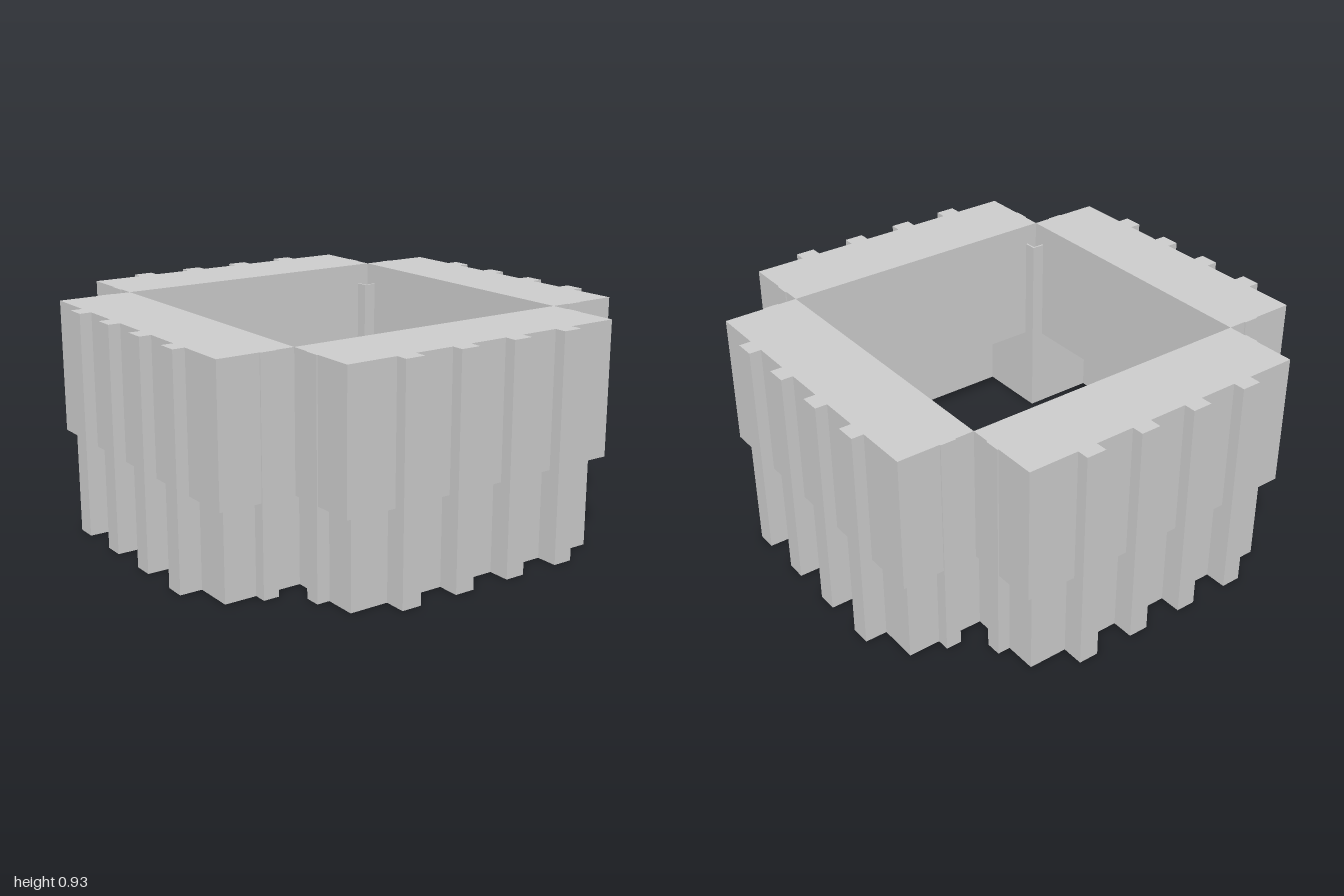
import * as THREE from 'three';

const H = 0.93;        // overall height
const LEDGE = 0.375;   // underside of the upper blocks
const INNER = 0.63;    // half width of the opening

export function createModel() {
  const model = new THREE.Group();
  model.name = 'ribbedEnclosure';
  const material = new THREE.MeshStandardMaterial({ color: 0xcccccc, flatShading: true });

  // Box given by its minimum and maximum corners
  const box = (parent, name, x0, x1, y0, y1, z0, z1) => {
    const mesh = new THREE.Mesh(new THREE.BoxGeometry(x1 - x0, y1 - y0, z1 - z0), material);
    mesh.position.set((x0 + x1) / 2, (y0 + y1) / 2, (z0 + z1) / 2);
    mesh.name = name;
    parent.add(mesh);
  };

  // Cross-shaped outline: arm half width a, reach r
  const cross = (a, r) => [
    [a, a], [a, r], [-a, r], [-a, a], [-r, a], [-r, -a],
    [-a, -a], [-a, -r], [a, -r], [a, -a], [r, -a], [r, a],
  ].map(([x, y]) => new THREE.Vector2(x, y));

  // Thin inner shell; its inward corners show as posts inside the opening
  const shape = new THREE.Shape(cross(0.582, 0.908));
  shape.holes.push(new THREE.Path(cross(0.574, 0.9)));
  const shellGeometry = new THREE.ExtrudeGeometry(shape, { depth: 0.84, bevelEnabled: false });
  shellGeometry.rotateX(-Math.PI / 2);
  const shell = new THREE.Mesh(shellGeometry, material);
  shell.name = 'thinShell';
  model.add(shell);

  // Four identical sides around the opening
  for (let i = 0; i < 4; i++) {
    const side = new THREE.Group();
    side.name = 'side' + (i + 1);
    side.rotation.y = i * Math.PI / 2;

    box(side, 'upperBlock', -INNER, INNER, LEDGE, H, INNER, 0.95);

    // Outer vertical ribs
    for (const x of [-0.377, -0.127, 0.123, 0.373]) {
      box(side, 'outerRib', x - 0.042, x + 0.042, 0, H, 0.908, 1);
    }

    // Shallow ribs on both ends
    box(side, 'endRib', 0.582, 0.635, 0, H, 0.71, 0.775);
    box(side, 'endRib', -0.635, -0.582, 0, H, 0.71, 0.775);
    model.add(side);
  }
  return model;
}
